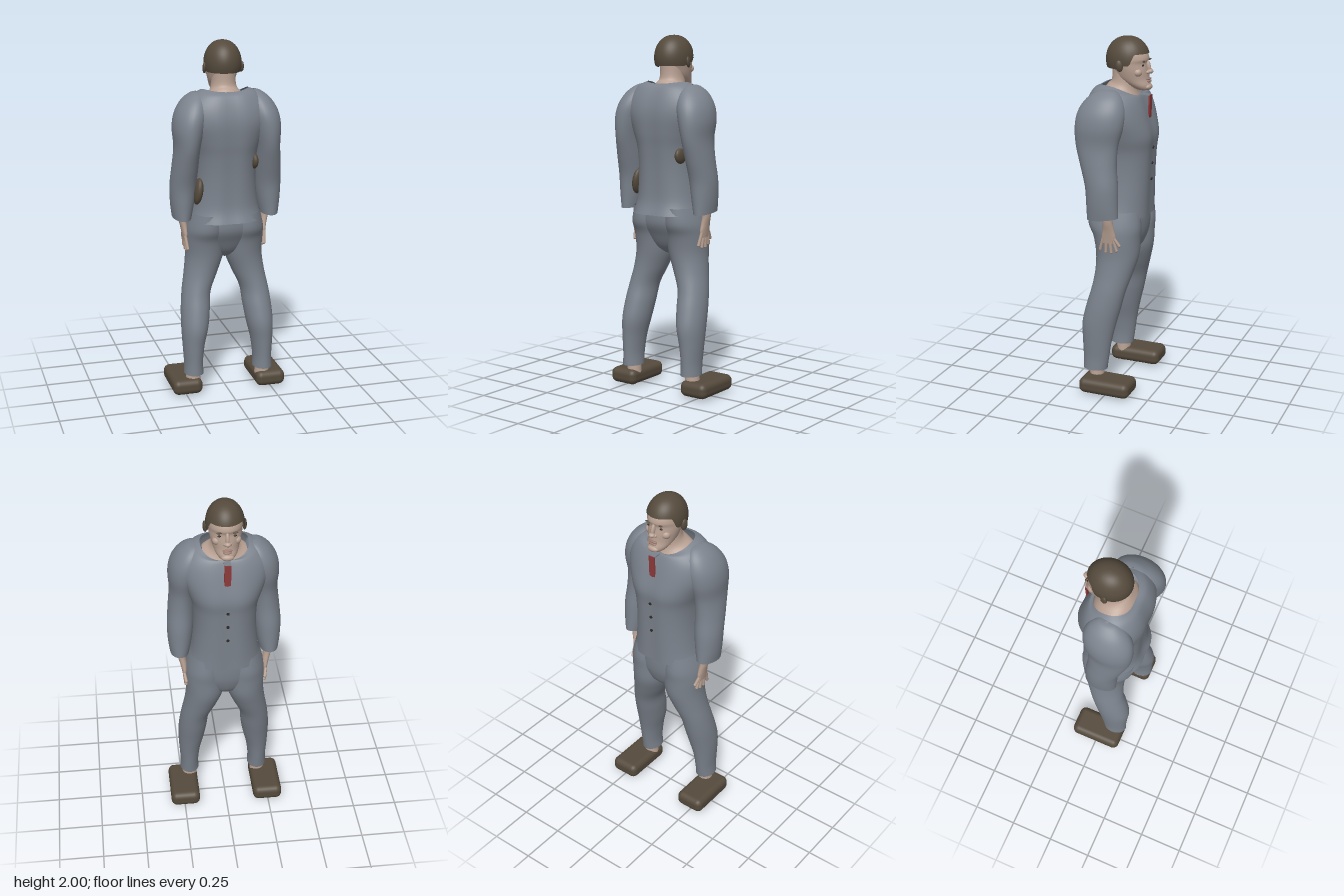
import * as THREE from 'three';
import { RoundedBoxGeometry } from 'three/addons/geometries/RoundedBoxGeometry.js';

const mat = (name, color, side = THREE.FrontSide) => {
  const m = new THREE.MeshStandardMaterial({ color, side });
  m.name = name;
  return m;
};

// Cubic interpolation between four neighbouring values
const cubic = (a, b, c, d, t) =>
  b + 0.5 * t * (c - a + t * (2 * a - 5 * b + 4 * c - d + t * (3 * (b - c) + d - a)));

// Smooth indexed surface through a grid of rings, ordered bottom to top
function skinRings(rings) {
  const n = rings[0].length, pos = [], idx = [];
  rings.forEach(r => r.forEach(p => pos.push(...p)));
  for (let j = 0; j < rings.length - 1; j++) for (let i = 0; i < n; i++) {
    const a = j * n + i, b = j * n + (i + 1) % n;
    idx.push(a, a + n, b, b, a + n, b + n);
  }
  const g = new THREE.BufferGeometry();
  g.setAttribute('position', new THREE.Float32BufferAttribute(pos, 3));
  g.setIndex(idx);
  g.computeVertexNormals();
  return g;
}

// Section: [y, xMin, xMax, zMin, zMax, tilt, dip]; dent pulls in the middle of chest and back
function loft(sections, { steps = 5, n = 36, dent = 0, power = 1 } = {}) {
  const s = sections.map(v => [...v, 0, 0].slice(0, 7)), rings = [], last = s.length - 1;
  const shape = v => Math.sign(v) * Math.abs(v) ** power;
  for (let k = 0; k <= last * steps; k++) {
    const j = Math.min(Math.floor(k / steps), last - 1), t = k / steps - j;
    const at = i => s[Math.max(0, Math.min(last, i))];
    const [y, x0, x1, z0, z1, tilt, dip] = s[0].map((_, c) => cubic(at(j - 1)[c], at(j)[c], at(j + 1)[c], at(j + 2)[c], t));
    rings.push(Array.from({ length: n }, (_, i) => {
      const a = i / n * Math.PI * 2, c = shape(Math.cos(a)), q = shape(Math.sin(a));
      const x = (x0 + x1) / 2 + c * (x1 - x0) / 2;
      const dz = q * (z1 - z0) / 2 * (1 - dent * Math.exp(-((x / 0.05) ** 2)));
      return [x, y + tilt * dz - dip * q * q, (z0 + z1) / 2 + dz];
    }));
  }
  return skinRings(rings);
}

const mirror = (sections, s) => s > 0 ? sections : sections.map(([y, a, b, ...r]) => [y, -b, -a, ...r]);

export function createModel() {
  const group = new THREE.Group();
  const suit = mat('suit grey', 0x7c838d, THREE.DoubleSide);
  const skin = mat('skin', 0xb9a193, THREE.DoubleSide);
  const brown = mat('dark brown', 0x554a3c, THREE.DoubleSide);
  const red = mat('tie red', 0x8f3b3b);
  const dark = mat('dark details', 0x2e2a28);
  const lip = mat('lip', 0x9a7a70);

  const add = (name, geo, m, p = [0, 0, 0], rot = [0, 0, 0]) => {
    const mesh = new THREE.Mesh(geo, m);
    mesh.name = name;
    mesh.position.set(...p);
    mesh.rotation.set(...rot);
    group.add(mesh);
    return mesh;
  };
  const blob = (name, m, p, size, rot) => add(name, new THREE.SphereGeometry(1, 20, 14), m, p, rot).scale.set(...size);

  // Jacket body with open hem and wide neckline
  add('jacket', loft([
    [1.018, -0.205, 0.205, -0.17, 0.19],
    [1.10, -0.185, 0.185, -0.172, 0.168],
    [1.25, -0.172, 0.172, -0.178, 0.168],
    [1.38, -0.178, 0.178, -0.185, 0.178],
    [1.47, -0.205, 0.205, -0.192, 0.19],
    [1.57, -0.24, 0.24, -0.168, 0.195],
    [1.65, -0.235, 0.235, -0.142, 0.18],
    [1.715, -0.185, 0.185, -0.122, 0.148, 0.1, 0.01],
    [1.742, -0.13, 0.13, -0.108, 0.112, 0.23, 0.03],
  ], { dent: 0.06, power: 0.88, n: 56 }), suit);

  // Trouser seat
  add('trouserSeat', loft([
    [0.79, -0.03, 0.03, -0.06, 0.03],
    [0.83, -0.12, 0.12, -0.11, 0.08],
    [0.90, -0.195, 0.195, -0.138, 0.118],
    [0.97, -0.208, 0.208, -0.148, 0.15],
    [1.06, -0.19, 0.19, -0.15, 0.15],
  ]), suit);

  // Neck and upper chest seen in the neckline
  add('neck', loft([
    [1.62, -0.15, 0.15, -0.11, 0.13],
    [1.69, -0.135, 0.135, -0.105, 0.112, 0.2, 0.02],
    [1.725, -0.085, 0.085, -0.085, 0.08, 0.2],
    [1.77, -0.068, 0.068, -0.085, 0.058],
    [1.86, -0.068, 0.068, -0.085, 0.055],
  ]), skin);

  // Head
  add('head', loft([
    [1.712, -0.005, 0.005, -0.125, -0.115],
    [1.718, -0.034, 0.034, -0.155, -0.08],
    [1.74, -0.056, 0.056, -0.16, -0.035],
    [1.775, -0.072, 0.072, -0.15, 0.025],
    [1.82, -0.084, 0.084, -0.146, 0.045],
    [1.86, -0.09, 0.09, -0.141, 0.065],
    [1.885, -0.09, 0.09, -0.147, 0.065],
    [1.92, -0.086, 0.086, -0.134, 0.06],
    [1.96, -0.06, 0.06, -0.1, 0.03],
  ]), skin);

  // Hair cap, low at the nape and high above the forehead
  const columns = Array.from({ length: 64 }, (_, i) => {
    const a = i / 64 * Math.PI * 2, front = -Math.sin(a);
    const edge = 1.832 + 0.02 * THREE.MathUtils.smoothstep(front, -0.3, 0.1)
      + 0.062 * THREE.MathUtils.smoothstep(front, 0.3, 0.6);
    return { a, low: Math.asin((edge - 1.875) / 0.125) };
  });
  add('hair', skinRings(Array.from({ length: 17 }, (_, k) => columns.map(({ a, low }) => {
    const phi = low + (Math.PI / 2 - low) * k / 16, r = Math.max(0, Math.cos(phi)) ** 0.9;
    return [0.103 * r * Math.cos(a), 1.875 + 0.125 * Math.sin(phi), -0.03 + 0.122 * r * Math.sin(a)];
  }))), brown);

  // Face
  blob('noseBridge', skin, [0, 1.845, -0.147], [0.011, 0.035, 0.014], [0.25, 0, 0]);
  blob('noseTip', skin, [0, 1.817, -0.157], [0.018, 0.013, 0.018]);
  blob('upperLip', lip, [0, 1.776, -0.15], [0.027, 0.006, 0.011]);
  blob('lowerLip', lip, [0, 1.764, -0.152], [0.024, 0.007, 0.011]);
  blob('chin', skin, [0, 1.733, -0.148], [0.034, 0.018, 0.02]);

  for (const s of [1, -1]) {
    const side = s > 0 ? 'left' : 'right';
    blob(side + 'Eye', dark, [s * 0.036, 1.853, -0.129], [0.014, 0.006, 0.006], [0, s * 0.35, 0]);
    blob(side + 'Brow', brown, [s * 0.036, 1.874, -0.135], [0.021, 0.005, 0.007], [0, s * 0.35, s * 0.1]);
    blob(side + 'Nostril', skin, [s * 0.014, 1.813, -0.148], [0.01, 0.009, 0.011]);
    blob(side + 'Cheek', skin, [s * 0.05, 1.815, -0.105], [0.026, 0.024, 0.025]);
    blob(side + 'Ear', brown, [s * 0.104, 1.853, -0.02], [0.011, 0.031, 0.02], [0.15, s * 0.3, 0]);

    // Sleeve from cuff to shoulder
    add(side + 'Sleeve', loft(mirror([
      [1.04, 0.198, 0.302, -0.07, 0.108, -0.12],
      [1.12, 0.182, 0.312, -0.068, 0.112],
      [1.22, 0.17, 0.315, -0.065, 0.12],
      [1.33, 0.163, 0.306, -0.055, 0.15],
      [1.44, 0.155, 0.296, -0.06, 0.18],
      [1.54, 0.13, 0.302, -0.085, 0.188],
      [1.62, 0.11, 0.288, -0.09, 0.175],
      [1.685, 0.11, 0.25, -0.07, 0.135],
      [1.725, 0.13, 0.2, -0.03, 0.08],
      [1.734, 0.16, 0.165, 0.015, 0.03],
    ], s)), suit);

    // Trouser leg
    add(side + 'TrouserLeg', loft(mirror([
      [0.13, 0.148, 0.258, 0.015, 0.155],
      [0.20, 0.15, 0.256, 0.005, 0.155],
      [0.30, 0.138, 0.262, -0.01, 0.16],
      [0.40, 0.115, 0.266, -0.032, 0.165],
      [0.50, 0.1, 0.262, -0.058, 0.145],
      [0.60, 0.088, 0.25, -0.082, 0.118],
      [0.70, 0.045, 0.232, -0.112, 0.105],
      [0.80, 0.008, 0.22, -0.138, 0.108],
      [0.90, 0.0, 0.222, -0.145, 0.125],
      [0.97, 0.005, 0.218, -0.15, 0.155],
      [1.06, 0.02, 0.195, -0.14, 0.155],
    ], s)), suit);

    // Wrist, palm and spread fingers
    add(side + 'Hand', loft(mirror([
      [0.895, 0.22, 0.236, -0.04, 0.03],
      [0.93, 0.212, 0.242, -0.048, 0.034],
      [0.97, 0.212, 0.25, -0.042, 0.026],
      [1.02, 0.218, 0.262, -0.035, 0.022],
      [1.09, 0.22, 0.27, -0.035, 0.03],
    ], s), { n: 20 }), skin);
    for (const [z, tip, y] of [[0.024, 0.044, 0.855], [0.005, 0.012, 0.842], [-0.014, -0.02, 0.842], [-0.032, -0.05, 0.855], [-0.04, -0.066, 0.885]]) {
      const path = new THREE.LineCurve3(new THREE.Vector3(s * 0.23, 0.925, z), new THREE.Vector3(s * 0.222, y, tip));
      add(side + 'Finger', new THREE.TubeGeometry(path, 1, 0.009, 8), skin);
      blob(side + 'Fingertip', skin, [s * 0.222, y, tip], [0.009, 0.009, 0.009]);
    }

    // Ankle, shoe and the sole areas showing beneath
    add(side + 'Ankle', new THREE.CylinderGeometry(0.036, 0.044, 0.12, 20), skin, [s * 0.205, 0.12, 0.075]);
    add(side + 'Shoe', new RoundedBoxGeometry(0.17, 0.088, 0.3, 4, 0.034), brown, [s * 0.245, 0.056, -0.005]);
    blob(side + 'FootBall', skin, [s * 0.25, 0.02, -0.07], [0.042, 0.02, 0.035]);
    blob(side + 'Heel', skin, [s * 0.215, 0.02, 0.08], [0.028, 0.02, 0.03]);
  }

  // Dark lining patches between arms and waist
  blob('leftLining', brown, [0.142, 1.35, 0.1], [0.022, 0.045, 0.05]);
  blob('rightLining', brown, [-0.168, 1.19, 0.075], [0.026, 0.075, 0.05], [0, 0, -0.15]);

  // Tie hanging from a small collar tab, and buttons
  add('tie', new THREE.BoxGeometry(0.036, 0.135, 0.008), red, [0, 1.622, -0.158], [-0.04, 0, 0]);
  add('collarTab', new THREE.BoxGeometry(0.036, 0.006, 0.06), suit, [0, 1.688, -0.13]);
  for (const [y, z] of [[1.4, -0.177], [1.31, -0.172], [1.22, -0.168]])
    add('button', new THREE.CylinderGeometry(0.008, 0.008, 0.009, 14), dark, [0, y, z], [Math.PI / 2, 0, 0]);

  return group;
}
